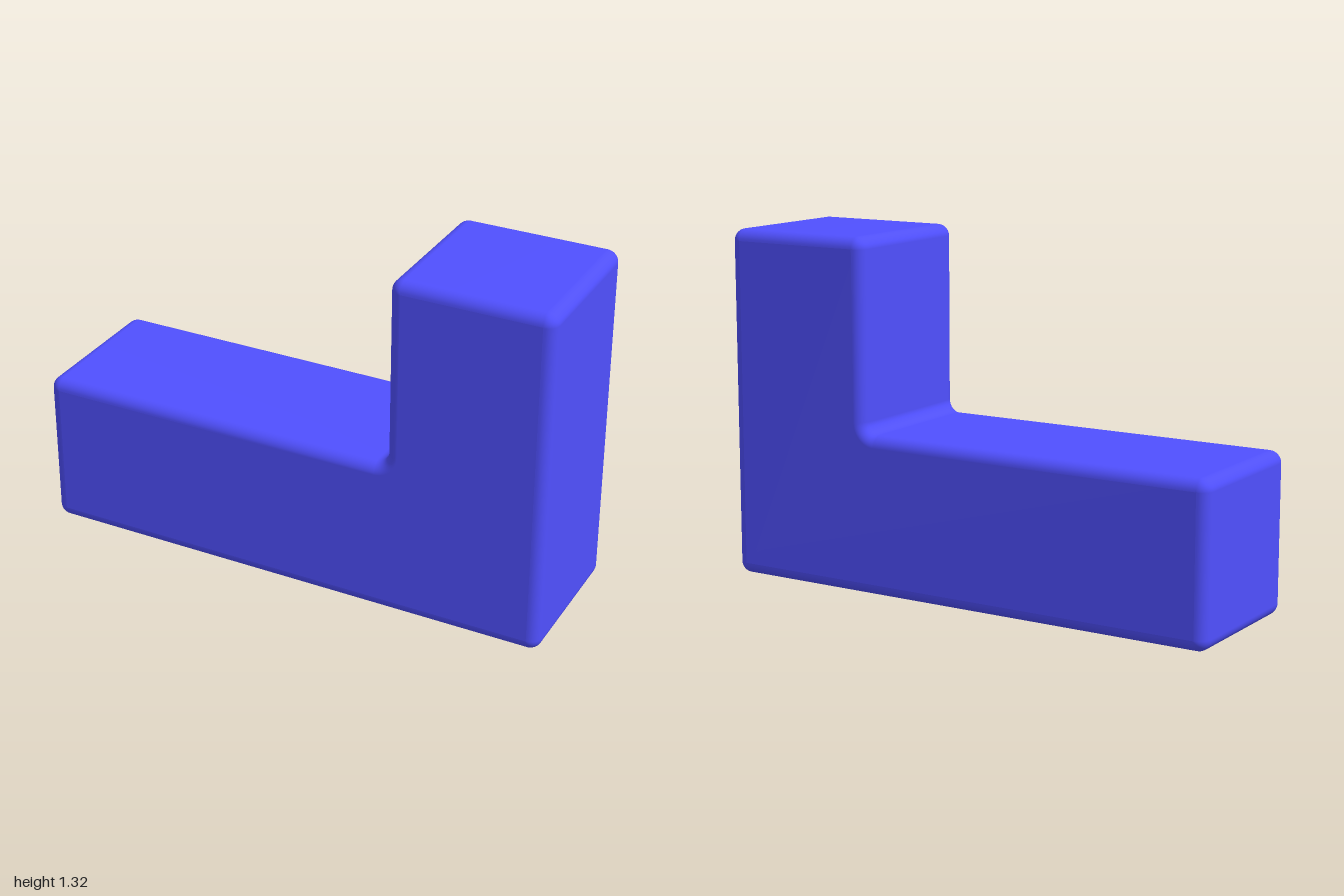
import * as THREE from 'three';
import { mergeVertices } from 'three/addons/utils/BufferGeometryUtils.js';

export function createModel() {
  const group = new THREE.Group();
  const r = 0.045;           // edge rounding
  const bevel = r - 0.001;   // just under the corner radius, so corners stay spherical
  const halfDepth = 0.3;
  const q = Math.PI / 2;

  // L-shaped outline with rounded outer corners and a fillet in the inner corner
  const outline = new THREE.Shape();
  const corner = (x, y, start) => outline.absarc(x, y, r, start, start + q, false);
  corner(-1 + r, r, 2 * q);
  corner(1 - r, r, 3 * q);
  corner(1 - r, 1.32 - r, 0);
  corner(0.4 + r, 1.32 - r, q);
  outline.absarc(0.4 - r, 0.6 + r, r, 0, -q, true);
  corner(-1 + r, 0.6 - r, q);
  outline.closePath();

  // Extrude front to back with rounded rims
  let geometry = new THREE.ExtrudeGeometry(outline, {
    depth: 2 * (halfDepth - bevel),
    bevelEnabled: true,
    bevelThickness: bevel,
    bevelSize: bevel,
    bevelOffset: -bevel,
    bevelSegments: 8,
    curveSegments: 8,
  });
  geometry.translate(0, 0, bevel - halfDepth);

  // Shared vertices give smooth shading across the rounded edges
  geometry.deleteAttribute('uv');
  geometry.deleteAttribute('normal');
  geometry = mergeVertices(geometry, 1e-5);
  geometry.computeVertexNormals();

  const block = new THREE.Mesh(geometry, new THREE.MeshStandardMaterial({ color: 0x5050ff }));
  block.name = 'lShapedBlock';
  group.add(block);
  return group;
}
